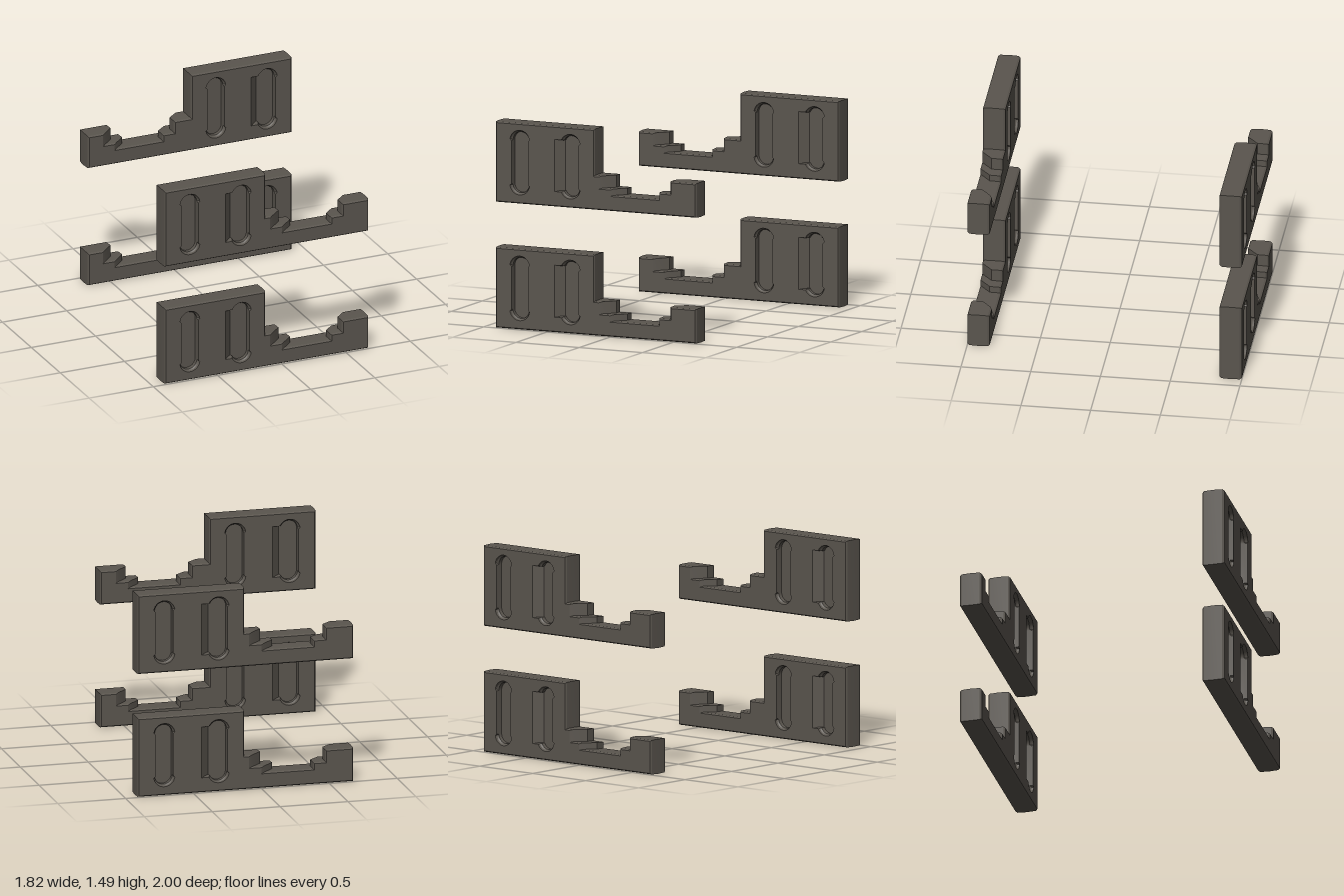
import * as THREE from 'three';
import { toCreasedNormals } from 'three/addons/utils/BufferGeometryUtils.js';

const HALF = 0.08;        // half the plate thickness
const SLOT_Y = 0.298;     // height of the slot centres
const STRAIGHT = 0.155;   // half length of a slot's straight sides
const R = 0.065;          // slot radius

// Skin a stack of equal-length loops of [x, y, z] points
function loft(loops) {
  const pos = [], n = loops[0].length;
  for (let i = 0; i < loops.length - 1; i++) {
    for (let j = 0; j < n; j++) {
      const k = (j + 1) % n;
      const a = loops[i][j], b = loops[i][k], c = loops[i + 1][k], d = loops[i + 1][j];
      pos.push(...a, ...b, ...c, ...a, ...c, ...d);
    }
  }
  const g = new THREE.BufferGeometry();
  g.setAttribute('position', new THREE.Float32BufferAttribute(pos, 3));
  return toCreasedNormals(g, 0.4);
}

// Stepped side outline at depth z, pulled in by inset; x = 0 is the middle of the tall body
function outline(z, inset) {
  const l = -0.09 * Math.max(0, z) / HALF;    // slant of the steps beside the body
  const r = 0.085 * Math.max(0, -z) / HALF;   // slant of the steps beside the hook
  const p = [
    [-0.395, 0], [1.195, 0], [1.195, 0.25], [0.985 + r, 0.25], [0.985 + r, 0.163],
    [0.895 + r, 0.163], [0.895 + r, 0.117], [0.615 + l, 0.117], [0.615 + l, 0.163],
    [0.525 + l, 0.163], [0.525 + l, 0.25], [0.392, 0.25], [0.392, 0.583], [-0.395, 0.583],
  ];
  return p.map(([x, y], i) => {
    const a = p[(i + p.length - 1) % p.length], b = p[(i + 1) % p.length];
    // inward normals of the two edges that meet at this corner
    const nx = -Math.sign(y - a[1]) - Math.sign(b[1] - y);
    const ny = Math.sign(x - a[0]) + Math.sign(b[0] - x);
    return [x + nx * inset, y + ny * inset, z];
  });
}

// Slot loop with end radius r; ramp (if any) is the reach of the sloped pocket on its left
function slotLoop(cx, r, z, ramp) {
  const pts = [[R, -STRAIGHT], [R, STRAIGHT]];
  const from = 0.15, to = Math.PI - (ramp ? 0.43 : 0.15), n = 14;
  const arc = [];
  for (let i = 0; i <= n; i++) {
    const t = from + (to - from) * i / n;
    arc.push([r * Math.cos(t), STRAIGHT + r * Math.sin(t)]);
  }
  const side = ramp ? [-ramp, arc[n][1]] : [-R, STRAIGHT];
  pts.push(...arc, side, [side[0], -side[1]]);
  pts.push(...arc.reverse().map(([x, y]) => [x, -y]));
  return pts.map(([x, y]) => [cx + x, SLOT_Y + y, z]);
}

// Loops of one recess from the surface down to its floor
function slotLoops(cx, ramped) {
  const rows = [[0.078, 0], [0.074, 0.015], [R, 0.025], [R, 0.055]];
  return rows.map(([r, depth]) =>
    slotLoop(cx, r, HALF - depth, ramped ? 0.125 - 0.06 * depth / 0.055 : 0));
}

const toPath = (loop, Type) => new Type(loop.map(([x, y]) => new THREE.Vector2(x, y)));

function createPiece(material) {
  const piece = new THREE.Group();
  const add = (parent, geometry, name) => {
    const mesh = new THREE.Mesh(geometry, material);
    mesh.name = name;
    parent.add(mesh);
  };

  // Slightly crowned rim with slanted steps
  const layers = [[-HALF, 0.01], [-0.066, 0.002], [0, 0], [0.066, 0.002], [HALF, 0.01]];
  add(piece, loft(layers.map(([z, inset]) => outline(z, inset))), 'steppedRim');

  // Both broad faces carry one plain and one ramped slot, turned half round
  for (const back of [false, true]) {
    const side = new THREE.Group();
    side.name = back ? 'innerFace' : 'outerFace';
    const edge = outline(back ? -HALF : HALF, 0.01).map(([x, y]) => [back ? -x : x, y]);
    const shape = toPath(edge, THREE.Shape);
    for (const [cx, ramped] of [[-0.2, false], [0.2, true]]) {
      const loops = slotLoops(cx, ramped);
      const name = ramped ? 'rampedSlot' : 'plainSlot';
      shape.holes.push(toPath(loops[0], THREE.Path));
      add(side, loft(loops), name + 'Wall');
      const floor = new THREE.ShapeGeometry(toPath(loops[loops.length - 1], THREE.Shape));
      add(side, floor.translate(0, 0, HALF - 0.055), name + 'Floor');
    }
    add(side, new THREE.ShapeGeometry(shape).translate(0, 0, HALF), 'broadFace');
    side.rotation.y = back ? Math.PI : 0;
    piece.add(side);
  }
  return piece;
}

export function createModel() {
  const model = new THREE.Group();
  model.name = 'interlockingPlates';
  const material = new THREE.MeshStandardMaterial({ color: 0x5a554e });
  material.name = 'darkGrey';

  // Two stacked plates in front, two turned half round at the back
  for (const back of [false, true]) {
    const pair = new THREE.Group();
    pair.name = back ? 'backPair' : 'frontPair';
    for (const y of [0, 0.905]) {
      const piece = createPiece(material);
      piece.name = y ? 'upperPlate' : 'lowerPlate';
      piece.position.set(-0.515, y, 0.92);
      pair.add(piece);
    }
    pair.rotation.y = back ? Math.PI : 0;
    model.add(pair);
  }
  return model;
}
